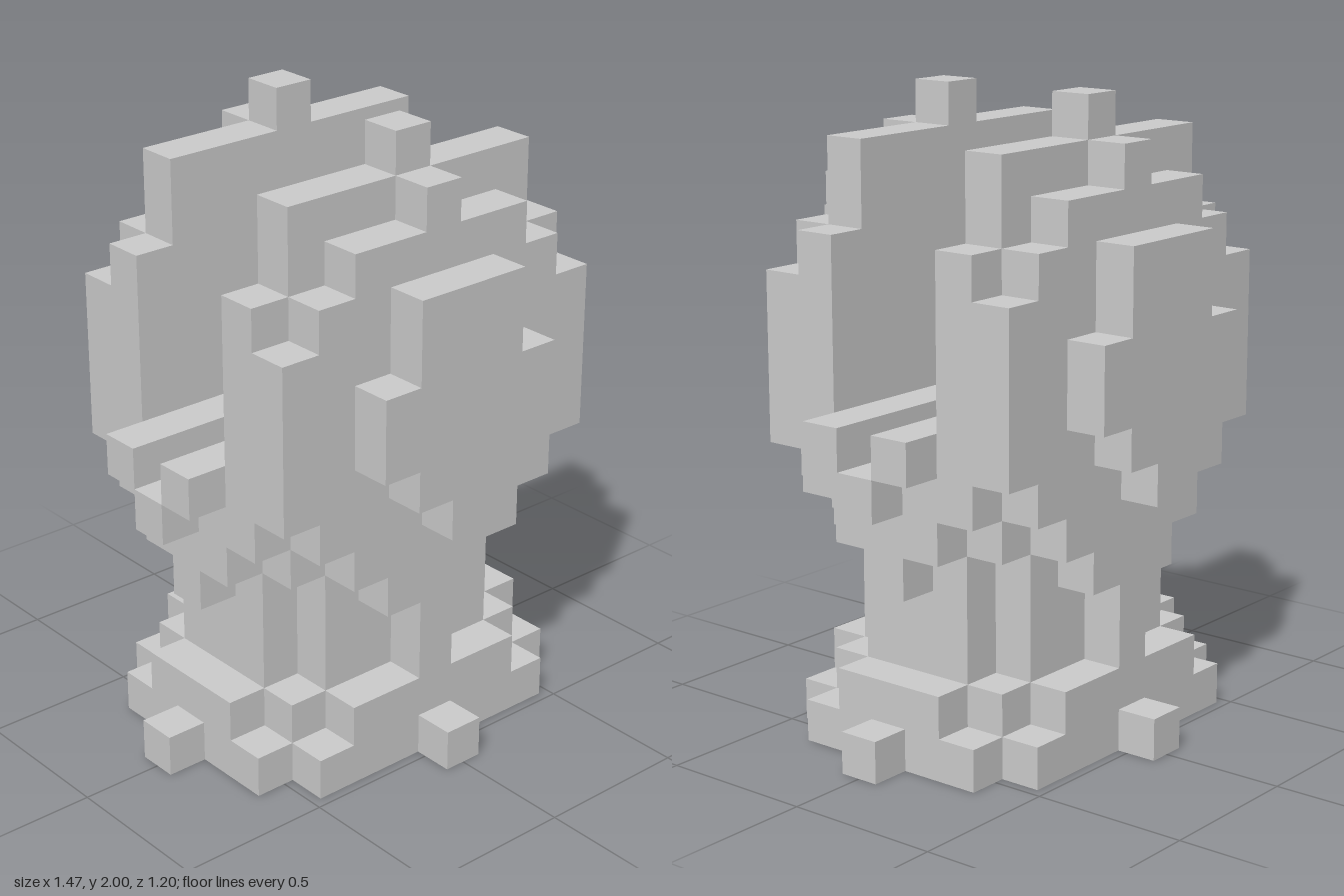
import * as THREE from 'three';
import { mergeGeometries } from 'three/addons/utils/BufferGeometryUtils.js';

const U = 2 / 15; // edge of one cube

// Half-width in cubes (along x) of each layer, for |z| = 0..4; -1 is empty.
const LAYERS = [
  [5, 4, 4, 3, 0],      // base
  [4, 4, 3, 2, -1],
  [3, 3, 2, 0, -1],     // stem
  [3, 3, 2, 0, -1],
  [4, 3, 2, 1, -1],     // flaring bowl
  [4, 4, 3, 2, -1],
  [5, 4, 4, 3, 0],
  [-1, 5, 4, 4, 1],
  [-1, -1, 4, 4, 2],    // two upright panels
  [-1, -1, 4, 4, 2],
  [-1, -1, 4, 4, 1],
  [-1, -1, 4, 3, 1],
  [-1, -1, 3, 2, -1],
  [-1, -1, 3, 0, -1],
  [-1, -1, 0, -1, -1],
];

const filled = (x, y, z) => Math.abs(x) <= (LAYERS[y]?.[Math.abs(z)] ?? -1);

// One square per cube side, turned to face outwards
const SIDES = [
  [1, 0, 0], [-1, 0, 0], [0, 1, 0], [0, -1, 0], [0, 0, 1], [0, 0, -1],
].map((dir) => {
  const square = new THREE.PlaneGeometry(U, U).translate(0, 0, U / 2);
  if (dir[1]) square.rotateX(-dir[1] * Math.PI / 2);
  else square.rotateY(Math.atan2(dir[0], dir[2]));
  return { dir, square };
});

// Outer skin of the cubes in a range of layers and z rows
function skin(y0, y1, z0, z1) {
  const faces = [];
  for (let y = y0; y <= y1; y++)
    for (let z = z0; z <= z1; z++)
      for (let x = -5; x <= 5; x++) {
        if (!filled(x, y, z)) continue;
        for (const { dir, square } of SIDES)
          if (!filled(x + dir[0], y + dir[1], z + dir[2]))
            faces.push(square.clone().translate(x * U, (y + 0.5) * U, z * U));
      }
  return mergeGeometries(faces);
}

export function createModel() {
  const group = new THREE.Group();
  const material = new THREE.MeshStandardMaterial({ color: 0xcccccc, flatShading: true });
  const add = (name, ...range) => {
    const mesh = new THREE.Mesh(skin(...range), material);
    mesh.name = name;
    group.add(mesh);
  };

  add('base', 0, 1, -4, 4);
  add('stem', 2, 3, -3, 3);
  add('bowl', 4, 7, -3, 3);
  add('frontPanel', 8, 14, 2, 3);
  add('backPanel', 8, 14, -3, -2);
  // Raised shields on the outer faces of the panels
  add('frontShield', 6, 11, 4, 4);
  add('backShield', 6, 11, -4, -4);
  return group;
}
